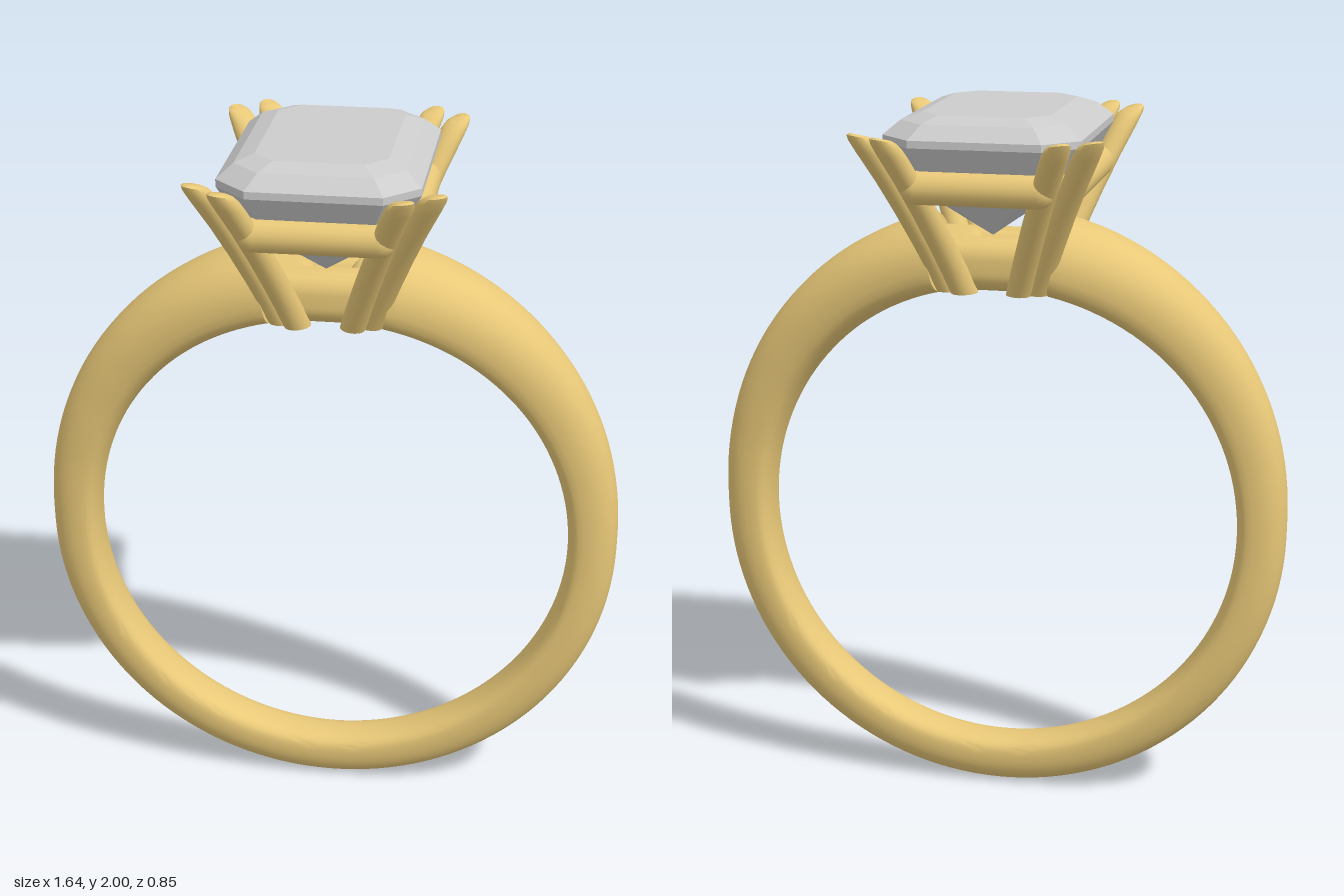
import * as THREE from 'three';
import { toCreasedNormals } from 'three/addons/utils/BufferGeometryUtils.js';

const gold = new THREE.MeshStandardMaterial({ color: 0xe8c878 });
const grey = new THREE.MeshStandardMaterial({ color: 0xcccccc });

// Skin a list of rings (equal point counts) and close both ends.
function loft(rings, crease) {
  const n = rings[0].length, pos = [], idx = [];
  rings.forEach(r => r.forEach(p => pos.push(p.x, p.y, p.z)));
  for (let i = 0; i < rings.length - 1; i++) {
    for (let j = 0; j < n; j++) {
      const a = i * n + j, b = i * n + (j + 1) % n;
      idx.push(a, a + n, b, b, a + n, b + n);
    }
  }
  [0, rings.length - 1].forEach(i => {
    const c = new THREE.Vector3();
    rings[i].forEach(p => c.addScaledVector(p, 1 / n));
    const k = pos.length / 3;
    pos.push(c.x, c.y, c.z);
    for (let j = 0; j < n; j++) {
      const a = i * n + j, b = i * n + (j + 1) % n;
      if (i === 0) idx.push(k, a, b); else idx.push(k, b, a);
    }
  });
  const g = new THREE.BufferGeometry();
  g.setAttribute('position', new THREE.Float32BufferAttribute(pos, 3));
  g.setIndex(idx);
  return toCreasedNormals(g, crease);
}

function add(parent, name, geometry, material) {
  const m = new THREE.Mesh(geometry, material);
  m.name = name;
  parent.add(m);
  return m;
}

const V = (x, y, z) => new THREE.Vector3(x, y, z);
const spow = (v, e) => Math.sign(v) * Math.abs(v) ** e;

// Linear lookup in [key, value] pairs.
function lookup(table, t) {
  let i = 1;
  while (i < table.length - 1 && t > table[i][0]) i++;
  const [k0, v0] = table[i - 1], [k1, v1] = table[i];
  return THREE.MathUtils.lerp(v0, v1, THREE.MathUtils.clamp((t - k0) / (k1 - k0), 0, 1));
}

// Band: domed outside, flatter inside, wider and thicker towards the top.
function bandGeometry() {
  const halfWidth = [[13, 0.166], [25, 0.148], [39, 0.125], [50, 0.108], [60, 0.096], [75, 0.085], [95, 0.079], [180, 0.07]];
  const rings = [], start = 0.225, steps = 128, sides = 36;
  for (let i = 0; i <= steps; i++) {
    const t = start + (2 * Math.PI - 2 * start) * i / steps;
    const deg = THREE.MathUtils.radToDeg(Math.min(t, 2 * Math.PI - t));
    const w = lookup(halfWidth, deg);
    const outer = 0.818 + 0.08 * Math.max(0, Math.cos(t)) ** 1.3;
    const edge = THREE.MathUtils.lerp(0.68, outer, 0.35);
    const ring = [];
    for (let j = 0; j < sides; j++) {
      const a = 2 * Math.PI * j / sides, c = Math.cos(a);
      const r = c > 0 ? edge + (outer - edge) * c ** 0.92 : edge + (edge - 0.68) * spow(c, 0.65);
      ring.push(V(-Math.sin(t) * r, 0.82 + Math.cos(t) * r, w * spow(Math.sin(a), 0.9)));
    }
    rings.push(ring);
  }
  return loft(rings, 0.7);
}

// Claw leaning outwards, oval in section, with a rounded tip.
function prongGeometry(base, tip) {
  const out = V(tip.x - base.x, 0, tip.z - base.z).normalize();
  const rings = [];
  const levels = [[0, 0.9], [0.15, 0.92], [0.3, 0.93], [0.5, 0.94], [0.7, 0.95], [0.88, 1], [0.95, 0.97], [0.985, 0.84], [1, 0.6]];
  for (const [t, s] of levels) {
    const p = base.clone().lerp(tip, t).addScaledVector(out, -0.05 * t * (1 - t));
    const ring = [];
    for (let j = 0; j < 20; j++) {
      const a = 2 * Math.PI * j / 20, u = 0.046 * s * Math.cos(a), v = 0.037 * s * Math.sin(a);
      // The tip slopes down slightly towards the stone.
      ring.push(V(p.x + out.x * u - out.z * v, p.y + 0.25 * u * t, p.z + out.z * u + out.x * v));
    }
    rings.push(ring);
  }
  return loft(rings, 0.8);
}

// Step-cut stone: chamfered rectangles from the keel up to the table.
function stoneGeometry() {
  const steps = [
    [1.66, 0.001, 0.11, 0.0005], [1.76, 0.14, 0.22, 0.045], [1.86, 0.235, 0.305, 0.08],
    [1.925, 0.268, 0.343, 0.09], [1.945, 0.268, 0.343, 0.09],
    [1.982, 0.225, 0.3, 0.075], [2, 0.175, 0.25, 0.058],
  ];
  return loft(steps.map(([y, x, z, c]) => [
    V(x, y, z - c), V(x - c, y, z), V(c - x, y, z), V(-x, y, z - c),
    V(-x, y, c - z), V(c - x, y, -z), V(x - c, y, -z), V(x, y, c - z),
  ]), 0.02);
}

// Rounded frame that joins the band ends under the setting.
function baseGeometry() {
  const rect = (shape, x, z) => shape.moveTo(-x, -z).lineTo(x, -z).lineTo(x, z).lineTo(-x, z).closePath();
  const shape = rect(new THREE.Shape(), 0.165, 0.085);
  shape.holes.push(rect(new THREE.Path(), 0.1, 0.065));
  const g = new THREE.ExtrudeGeometry(shape, {
    depth: 0.035, bevelThickness: 0.055, bevelSize: 0.055, bevelSegments: 8,
  });
  g.rotateX(-Math.PI / 2).translate(0, 1.555, 0);
  return toCreasedNormals(g, 0.6);
}

export function createModel() {
  const ring = new THREE.Group();
  ring.name = 'ring';
  add(ring, 'band', bandGeometry(), gold);
  add(ring, 'settingBase', baseGeometry(), gold);
  add(ring, 'stone', stoneGeometry(), grey);

  // Two claws at each corner
  const prongs = new THREE.Group();
  prongs.name = 'prongs';
  ring.add(prongs);
  for (const sx of [1, -1]) for (const sz of [1, -1]) {
    const corner = (sz > 0 ? 'front' : 'back') + (sx > 0 ? 'Left' : 'Right');
    add(prongs, corner + 'InnerProng', prongGeometry(V(sx * 0.075, 1.5, sz * 0.13), V(sx * 0.233, 1.955, sz * 0.393)), gold);
    add(prongs, corner + 'OuterProng', prongGeometry(V(sx * 0.12, 1.5, sz * 0.105), V(sx * 0.31, 1.955, sz * 0.335)), gold);
  }

  // Round rails under the edge of the stone
  for (const s of [1, -1]) {
    const end = add(ring, s > 0 ? 'frontRail' : 'backRail', new THREE.CapsuleGeometry(0.045, 0.33, 8, 20), gold);
    end.rotation.z = Math.PI / 2;
    end.position.set(0, 1.815, s * 0.3);
    const side = add(ring, s > 0 ? 'leftRail' : 'rightRail', new THREE.CapsuleGeometry(0.045, 0.43, 8, 20), gold);
    side.rotation.x = Math.PI / 2;
    side.position.set(s * 0.23, 1.815, 0);
  }
  return ring;
}
